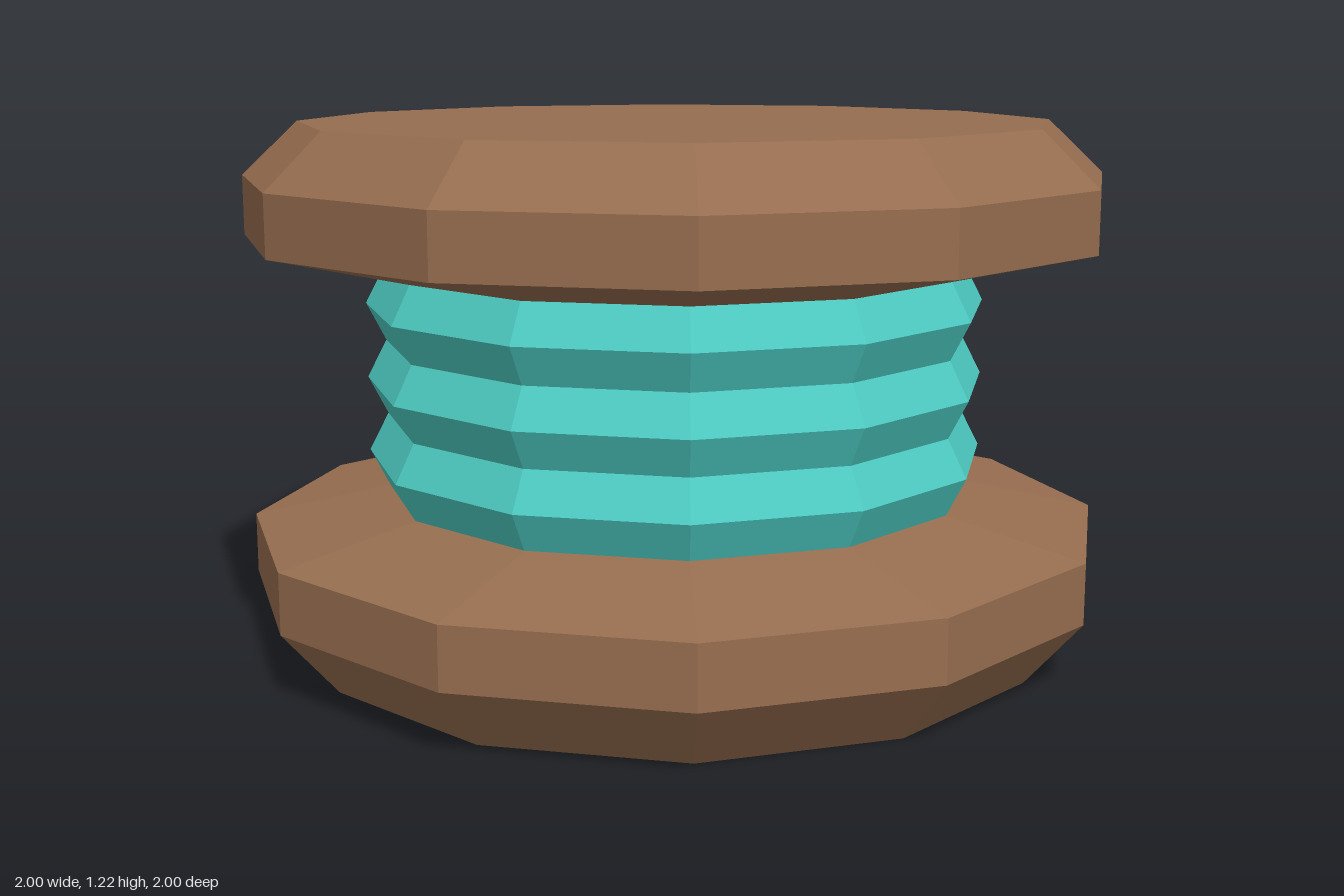
import * as THREE from 'three';

const SIDES = 12;

const wood = new THREE.MeshStandardMaterial({ name: 'brown wood', color: 0x966d4f });
const thread = new THREE.MeshStandardMaterial({ name: 'teal thread', color: 0x4ecdc4 });

// Faceted turned part from a [radius, height] profile listed bottom to top
function turned(name, profile, material) {
  const points = profile.map(([r, y]) => new THREE.Vector2(r, y));
  const geometry = new THREE.LatheGeometry(points, SIDES).toNonIndexed();
  geometry.computeVertexNormals();
  const mesh = new THREE.Mesh(geometry, material);
  mesh.name = name;
  return mesh;
}

export function createModel() {
  const group = new THREE.Group();
  group.name = 'spool';

  const coreRadius = 0.68, ridgeRadius = 0.725;
  const windingBottom = 0.36, windingTop = 0.885, ridges = 3;

  // Lower flange: chamfered underside, straight rim, shallow slope to the winding
  group.add(turned('lowerFlange', [
    [0, 0], [0.87, 0], [1, 0.153], [1, 0.292], [coreRadius, windingBottom],
  ], wood));

  // Thread winding: zigzag of ridges and grooves
  const zigzag = [];
  for (let i = 0; i <= ridges * 2; i++) {
    const y = THREE.MathUtils.lerp(windingBottom, windingTop, i / (ridges * 2));
    zigzag.push([i % 2 ? ridgeRadius : coreRadius, y]);
  }
  group.add(turned('threadWinding', zigzag, thread));

  // Upper flange: shallow slope, straight rim, chamfered top
  group.add(turned('upperFlange', [
    [coreRadius, windingTop], [1, 0.96], [1, 1.097], [0.87, 1.22], [0, 1.22],
  ], wood));

  return group;
}
